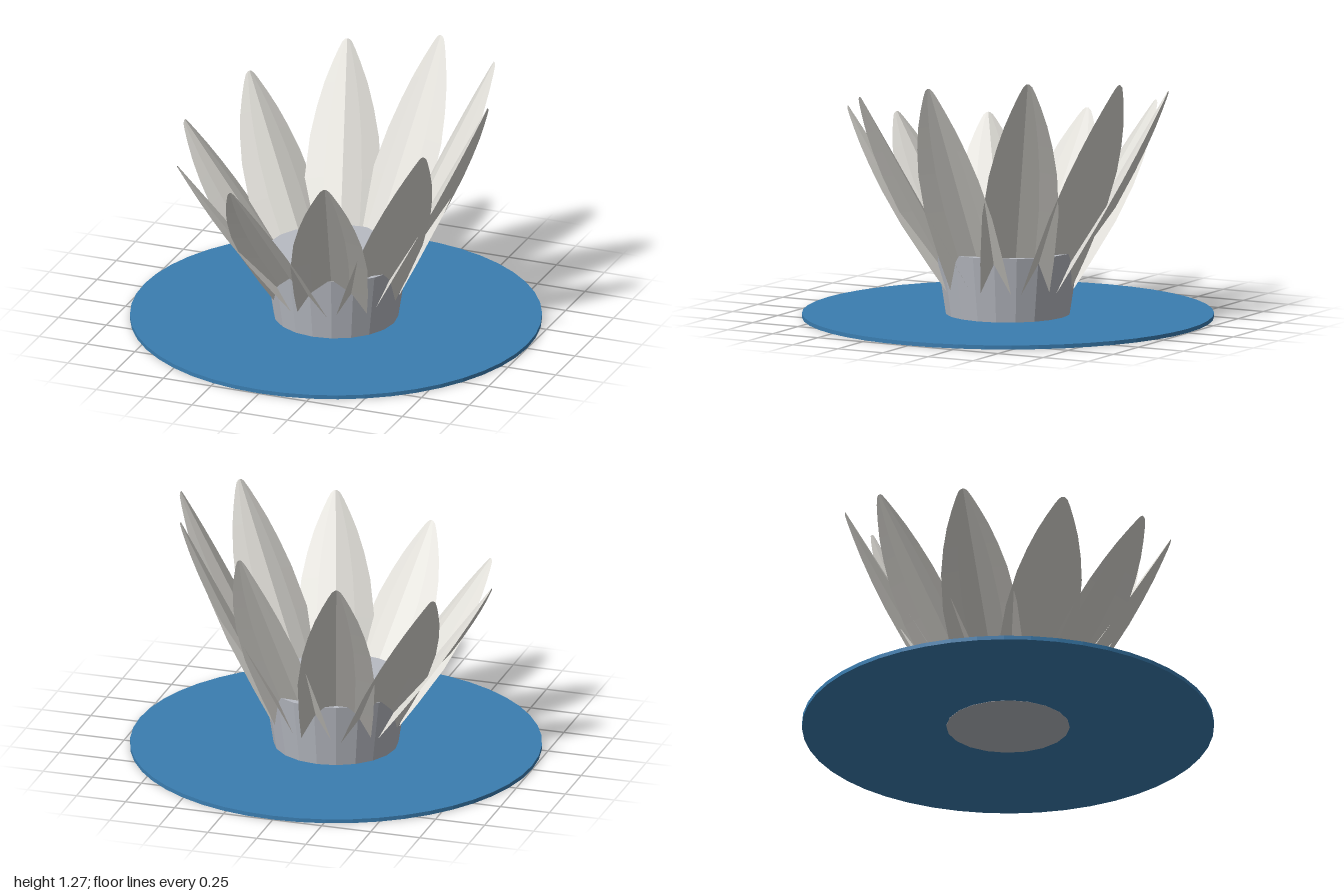
import * as THREE from 'three';

// half width of a petal along its length, from root to tip
const OUTLINE = [
  [0, 0.165], [0.2, 0.18], [0.42, 0.187], [0.6, 0.167], [0.72, 0.138],
  [0.82, 0.105], [0.9, 0.07], [0.96, 0.04], [0.99, 0.022], [1, 0.008],
];
const ACROSS = [-1, -0.5, 0, 0.5, 1];
const ROOT = { r: 0.2, y: 0.12 };

// ridged sheet leaning outwards, its edges folded back away from the centre
function petalGeometry(tipRadius, tipHeight) {
  const dr = tipRadius - ROOT.r, dy = tipHeight - ROOT.y;
  const len = Math.hypot(dr, dy);
  const pos = [], index = [], n = ACROSS.length;
  OUTLINE.forEach(([t, w], i) => {
    ACROSS.forEach((s, j) => {
      const fold = 0.28 * w * Math.abs(s) ** 1.25;
      pos.push(ROOT.r + dr * t + fold * dy / len, ROOT.y + dy * t - fold * dr / len, s * w);
      if (i > 0 && j > 0) {
        const a = (i - 1) * n + j - 1, b = a + 1, c = a + n, d = c + 1;
        index.push(a, b, c, b, d, c);
      }
    });
  });
  const g = new THREE.BufferGeometry();
  g.setAttribute('position', new THREE.Float32BufferAttribute(pos, 3));
  g.setIndex(index);
  const flat = g.toNonIndexed();
  flat.computeVertexNormals();
  return flat;
}

export function createModel() {
  const water = new THREE.MeshStandardMaterial({ color: 0x3a7db0, flatShading: true });
  water.name = 'water blue';
  const stone = new THREE.MeshStandardMaterial({ color: 0xb8bbc3, flatShading: true });
  stone.name = 'core grey';
  const shell = new THREE.MeshStandardMaterial({ color: 0xe0ded8, flatShading: true, side: THREE.DoubleSide });
  shell.name = 'petal white';

  const model = new THREE.Group();
  model.name = 'petalPavilion';
  const add = (name, geometry, material, y) => {
    const mesh = new THREE.Mesh(geometry, material);
    mesh.name = name;
    mesh.position.y = y;
    model.add(mesh);
    return mesh;
  };

  // round pool and the flared core standing in it
  add('pool', new THREE.CylinderGeometry(1, 1, 0.02, 48), water, 0.01);
  add('core', new THREE.CylinderGeometry(0.352, 0.3, 0.341, 20), stone, 0.1695);

  // ten petals, tallest at the back left and lowest opposite
  for (let i = 0; i < 10; i++) {
    const angle = i * Math.PI / 5;
    const height = 1.075 + 0.193 * Math.cos(angle - Math.PI / 5);
    add('petal' + (i + 1), petalGeometry(0.79, height), shell, 0).rotation.y = angle;
  }
  return model;
}
